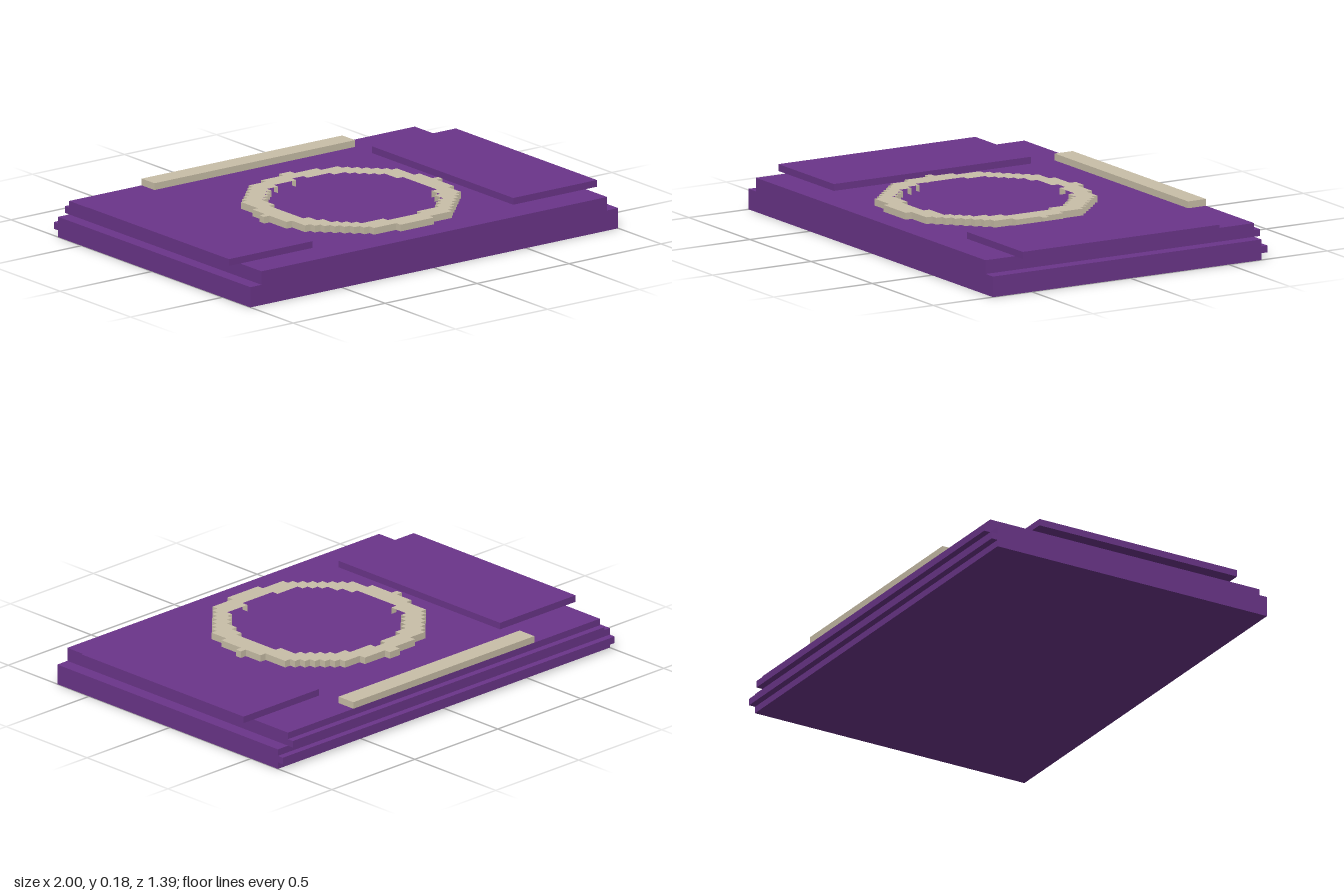
import * as THREE from 'three';

// Everything sits on a square grid: 66 cells wide, 46 deep, 6 high
const U = 2 / 66;

const purple = new THREE.MeshStandardMaterial({ color: 0x6b358a });
purple.name = 'purple';
const beige = new THREE.MeshStandardMaterial({ color: 0xc9bfa8 });
beige.name = 'beige';

// Box given by its limits in cells
function block(name, material, [x0, x1], [y0, y1], [z0, z1]) {
  const geometry = new THREE.BoxGeometry((x1 - x0) * U, (y1 - y0) * U, (z1 - z0) * U);
  const mesh = new THREE.Mesh(geometry, material);
  mesh.position.set((x0 + x1) / 2 * U, (y0 + y1) / 2 * U, (z0 + z1) / 2 * U);
  mesh.name = name;
  return mesh;
}

// Stepped, left-right symmetric outline from runs of [half width, row count]
function steppedOutline(startRow, runs) {
  const right = [];
  let row = startRow;
  for (const [half, rows] of runs) {
    right.push(new THREE.Vector2(half * U, -row * U));
    row += rows;
    right.push(new THREE.Vector2(half * U, -row * U));
  }
  const left = right.map(p => new THREE.Vector2(-p.x, p.y)).reverse();
  return right.concat(left);
}

export function createModel() {
  const model = new THREE.Group();
  model.name = 'slab';

  // Two-layer slab with a recess along each side
  model.add(block('lowerSlab', purple, [-33, 33], [0, 3], [-22, 23]));
  model.add(block('upperSlab', purple, [-31, 31], [3, 5], [-22, 23]));

  // Ridges along the back edge
  model.add(block('lowerBackRidge', purple, [-33, 33], [1, 2], [-23, -22]));
  model.add(block('upperBackRidge', purple, [-31, 31], [3, 4], [-23, -22]));

  // Overhanging side plates
  model.add(block('leftPlate', purple, [18, 33], [5, 6], [-15, 18]));
  model.add(block('rightPlate', purple, [-33, -18], [5, 6], [-15, 18]));

  // Raised bar at the back
  model.add(block('backBar', beige, [-18, 18], [5, 6], [-22, -19]));

  // Stepped ring with small points at its sides and top
  const ring = new THREE.Shape(steppedOutline(-12, [
    [1, 1], [5, 1], [8, 1], [9, 1], [10, 1], [11, 1], [12, 1], [13, 1], [14, 4],
    [15, 3], [16, 1], [15, 4],
    [14, 3], [13, 1], [12, 1], [11, 1], [10, 1], [9, 1], [8, 1], [7, 1], [3, 1],
  ]));
  ring.holes.push(new THREE.Path(steppedOutline(-9, [
    [1, 1], [5, 1], [7, 1], [8, 1], [9, 1], [10, 1], [11, 3],
    [12, 8],
    [11, 2], [10, 2], [9, 1], [8, 1], [7, 1], [3, 1],
  ])));
  const ringGeometry = new THREE.ExtrudeGeometry(ring, { depth: U, bevelEnabled: false });
  ringGeometry.rotateX(-Math.PI / 2);
  const ringMesh = new THREE.Mesh(ringGeometry, beige);
  ringMesh.name = 'ring';
  ringMesh.position.y = 5 * U;
  model.add(ringMesh);

  return model;
}
